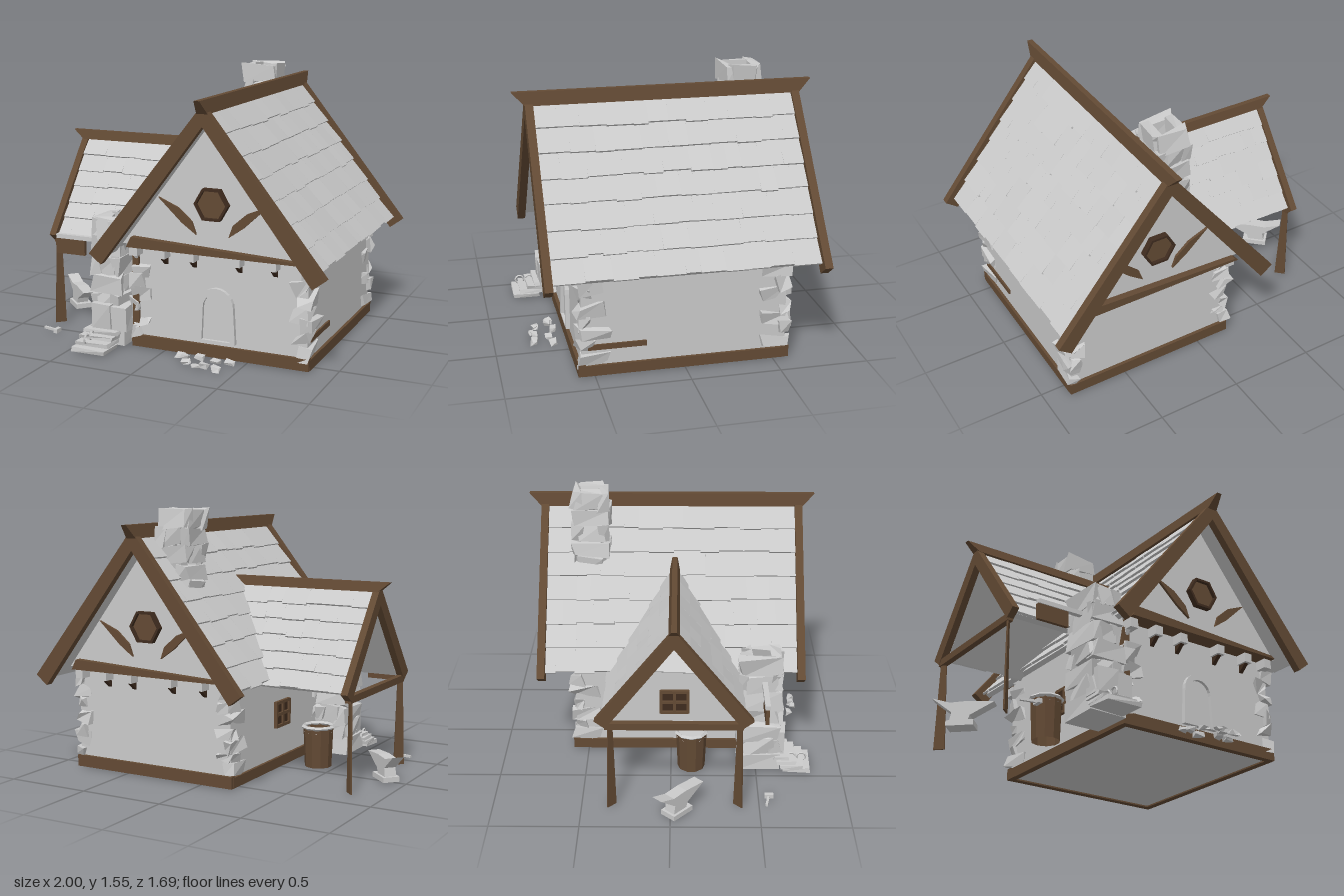
import * as THREE from 'three';

const mat = (name, color) => {
  const m = new THREE.MeshStandardMaterial({ color, flatShading: true, side: THREE.DoubleSide });
  m.name = name;
  return m;
};

export function createModel() {
  const stoneGrey = mat('stone grey', 0xcacaca);
  const timber = mat('timber brown', 0x634a34);
  const darkTimber = mat('dark timber', 0x3f2c1f);
  const root = new THREE.Group();
  root.name = 'cottage';

  let seed = 7;
  const rnd = (a = 0, b = 1) => {
    seed = (seed * 16807) % 2147483647;
    return a + (b - a) * (seed / 2147483647);
  };
  const add = (name, geo, m, x = 0, y = 0, z = 0, parent = root) => {
    const mesh = new THREE.Mesh(geo, m);
    mesh.name = name;
    mesh.position.set(x, y, z);
    parent.add(mesh);
    return mesh;
  };
  const group = (name, parent = root) => {
    const g = new THREE.Group();
    g.name = name;
    parent.add(g);
    return g;
  };
  const box = (name, m, w, h, d, x, y, z, parent) =>
    add(name, new THREE.BoxGeometry(w, h, d), m, x, y, z, parent);
  const shape = (pts) => new THREE.Shape(pts.map(([x, y]) => new THREE.Vector2(x, y)));
  const extrude = (s, depth) => new THREE.ExtrudeGeometry(s, { depth, bevelEnabled: false, curveSegments: 6 });
  // box whose corners are moved by a rule on their signs
  const shaped = (w, h, d, rule) => {
    const g = new THREE.BoxGeometry(w, h, d), p = g.attributes.position;
    for (let i = 0; i < p.count; i++) {
      const v = new THREE.Vector3().fromBufferAttribute(p, i);
      rule(v);
      p.setXYZ(i, v.x, v.y, v.z);
    }
    g.computeVertexNormals();
    return g;
  };
  // rough stone: each of the eight corners is knocked out of place
  const stone = (name, w, h, d, x, y, z, j, parent) => {
    const o = Array.from({ length: 8 }, () => [rnd(-j, j), rnd(-j, j), rnd(-j, j)]);
    const g = shaped(w, h, d, (v) => {
      const k = o[(v.x > 0 ? 1 : 0) + (v.y > 0 ? 2 : 0) + (v.z > 0 ? 4 : 0)];
      v.set(v.x + k[0], v.y + k[1], v.z + k[2]);
    });
    return add(name, g, stoneGrey, x, y, z, parent);
  };

  const CX = 0.315;

  // walls and timber sill
  box('walls', stoneGrey, 1.03, 0.62, 1.14, CX + 0.01, 0.32, 0);
  for (const s of [-1, 1]) {
    box('sillBeam', timber, 1.06, 0.068, 0.04, CX + 0.01, 0.035, s * 0.57);
    box('sillBeam', timber, 0.04, 0.06, 1.14, CX + 0.01 + s * 0.512, 0.031, 0);
  }
  box('cornerPost', timber, 0.04, 0.5, 0.04, -0.18, 0.31, 0.565);
  box('wallBoard', timber, 0.012, 0.03, 0.32, 0.845, 0.165, 0.375);

  // corner stones
  for (const sx of [-1, 1]) for (const sz of [-1, 1]) {
    const g = group('cornerStones');
    for (let i = 0; i < 7; i++) {
      const long = i % 2;
      stone('cornerStone', long ? 0.1 : 0.06, 0.07, long ? 0.07 : 0.16,
        CX + 0.01 + sx * (long ? 0.475 : 0.5), 0.1 + i * 0.07, sz * (long ? 0.55 : 0.51), 0.024, g);
    }
  }

  // arched door
  const arch = (hw, y0, y1) => {
    const s = new THREE.Shape();
    s.moveTo(-hw, y0);
    s.lineTo(hw, y0);
    s.lineTo(hw * 0.9, y1 - hw * 0.9);
    s.absarc(0, y1 - hw * 0.9, hw * 0.9, 0, Math.PI);
    s.closePath();
    return s;
  };
  const frame = arch(0.115, 0.09, 0.4);
  frame.holes.push(arch(0.085, 0.1, 0.365));
  add('doorFrame', extrude(frame, 0.03), stoneGrey, CX, 0, 0.565);
  add('door', extrude(arch(0.085, 0.1, 0.365), 0.008), stoneGrey, CX, 0, 0.568);

  // gables, front and back
  for (const s of [1, -1]) {
    const g = group(s > 0 ? 'frontGable' : 'backGable');
    g.position.x = CX;
    if (s < 0) g.rotation.y = Math.PI;
    add('gableWall', extrude(shape([[-0.56, 0.61], [0.56, 0.61], [0, 1.36]]), 0.08), stoneGrey, 0, 0, 0.55, g);
    add('tieBeam', extrude(shape([[-0.51, 0.6], [0.52, 0.6], [0.5, 0.615], [-0.48, 0.66]]), 0.1), timber, 0, 0, 0.57, g);
    // barge boards
    for (const m of [1, -1]) {
      add('bargeBoard', extrude(shape([[0, 1.43], [m * 0.685, 0.57], [m * 0.612, 0.515], [0, 1.315]]), 0.045), timber, 0, 0, 0.73, g);
      add('curvedBrace', extrude(shape([[m * 0.32, 0.895], [m * 0.2, 0.845], [m * 0.12, 0.775], [m * 0.095, 0.705], [m * 0.18, 0.765]]), 0.015), timber, 0, 0, 0.63, g);
    }
    // six-sided window
    const ring = new THREE.Shape(), hole = new THREE.Path();
    for (let i = 0; i < 6; i++) {
      const c = Math.cos(i * Math.PI / 3), n = Math.sin(i * Math.PI / 3);
      ring[i ? 'lineTo' : 'moveTo'](c * 0.1, n * 0.1);
      hole[i ? 'lineTo' : 'moveTo'](c * 0.085, n * 0.085);
    }
    ring.holes.push(hole);
    add('windowRing', extrude(ring, 0.035), darkTimber, 0, 0.88, 0.63, g);
    add('windowShutter', new THREE.CircleGeometry(0.088, 6), timber, 0, 0.88, 0.645, g);
    // corbels under the tie beam
    for (const x of [-0.48, -0.31, -0.135, 0.135, 0.34, 0.49]) {
      box('corbelStone', stoneGrey, 0.05, 0.055, 0.08, x, 0.573, 0.6, g);
      if (Math.abs(x) > 0.4) continue;
      add('corbelBracket', extrude(shape([[0, 0.56], [0.07, 0.56], [0, 0.5]]), 0.025), darkTimber, x + 0.0125, 0, 0.57, g).rotation.y = -Math.PI / 2;
    }
  }

  // tiled slope: local x along the ridge, y down the slope, z outwards
  const slope = (name, origin, down, normal, len, rows, from, to) => {
    const g = group(name);
    const d = new THREE.Vector3(...down).normalize(), n = new THREE.Vector3(...normal).normalize();
    g.quaternion.setFromRotationMatrix(new THREE.Matrix4().makeBasis(d.clone().cross(n), d, n));
    g.position.set(...origin);
    add('roofDeck', extrude(shape([[from(0), 0], [to(0), 0], [to(len), len], [from(len), len]]), 0.03), stoneGrey, 0, 0, -0.03, g);
    const h = len / rows;
    for (let r = 0; r < rows; r++) {
      const v = (r + 0.5) * h, end = to(v);
      for (let u = from(v); u < end - 0.01;) {
        let w = rnd(0.08, 0.16);
        if (end - u - w < 0.05) w = end - u;
        const t = box('roofTile', stoneGrey, w, h + rnd(0.005, 0.035), 0.014, u + w / 2, v, 0.008, g);
        t.rotation.x = rnd(0.06, 0.13);
        u += w;
      }
    }
  };
  for (const s of [1, -1])
    slope('mainRoof', [CX, 1.385, 0], [s * 0.605, -0.8, 0], [s * 0.8, 0.605, 0], 1.01, 7, () => -0.73, () => 0.73);

  // ridge beams with raked ends
  const ridge = (len, h, w) => shaped(w, h, len, (v) => {
    if (v.y > 0) v.x *= 0.5; else v.z -= Math.sign(v.z) * 0.07;
  });
  add('mainRidge', ridge(1.69, 0.075, 0.064), timber, CX, 1.42, 0);
  add('wingRidge', ridge(0.99, 0.055, 0.06), timber, -0.385, 1.103, 0.02).rotation.y = Math.PI / 2;

  // side wing roof, cut where it meets the main slope
  const meet = (v) => 0.1 - v * 0.62;
  slope('wingRoofFront', [0, 1.075, 0.02], [0, -0.52, 0.375], [0, 0.375, 0.52], 0.635, 6, (v) => -meet(v), () => 0.78);
  slope('wingRoofBack', [0, 1.075, 0.02], [0, -0.52, -0.375], [0, 0.375, -0.52], 0.635, 6, () => -0.78, meet);
  for (const m of [1, -1]) {
    const b = add('wingBargeBoard', extrude(shape([[0, 1.11], [m * 0.435, 0.56], [m * 0.375, 0.515], [0, 1.0]]), 0.04), timber, -0.78, 0, 0.02);
    b.rotation.y = -Math.PI / 2;
  }
  box('wingTieBeam', timber, 0.035, 0.04, 0.76, -0.8, 0.525, 0.02);
  // thin tapered posts set diagonally
  for (const [z, r] of [[0.38, Math.PI / 4], [-0.33, -Math.PI / 4]])
    add('wingPost', shaped(0.065, 0.52, 0.009, (v) => { if (v.y > 0) v.x *= 0.5; }), timber, -0.8, 0.26, z).rotation.y = r;

  // small window in the side wall
  box('sideWindowPane', darkTimber, 0.008, 0.13, 0.16, -0.194, 0.32, 0.02);
  for (const s of [-1, 0, 1]) {
    box('sideWindowBar', timber, 0.02, 0.15, 0.018, -0.2, 0.32, 0.02 + s * 0.08);
    box('sideWindowBar', timber, 0.02, 0.018, 0.17, -0.2, 0.32 + s * 0.07, 0.02);
  }

  // hollow stone stacks
  const stack = (name, x, z, w, d, y0, y1, layers) => {
    const g = group(name), h = (y1 - y0) / layers, t = 0.055;
    for (let i = 0; i < layers; i++) {
      const y = y0 + (i + 0.5) * h, k = i % 2 ? t : 0;
      for (const s of [-1, 1]) {
        stone('stackStone', w - k, h, t, x, y, z + s * (d - t) / 2, 0.019, g);
        stone('stackStone', t, h, d - t + k, x + s * (w - t) / 2, y, z, 0.019, g);
      }
    }
  };
  stack('chimney', 0.18, -0.475, 0.19, 0.21, 1.04, 1.53, 5);
  stack('forgeStack', -0.34, 0.515, 0.18, 0.24, 0.1, 0.73, 6);

  // forge base blocks, steps and hanging sign
  stone('forgeBlock', 0.12, 0.15, 0.12, -0.36, 0.175, 0.61, 0.008);
  stone('forgeBlock', 0.09, 0.14, 0.12, -0.25, 0.17, 0.6, 0.008);
  stone('forgeFooting', 0.22, 0.1, 0.24, -0.34, 0.06, 0.52, 0.008);
  for (let i = 0; i < 4; i++)
    stone('stepSlab', 0.21, 0.02, 0.16 - i * 0.025, -0.36 + rnd(-0.01, 0.01), 0.015 + i * 0.025, 0.74 - i * 0.03, 0.005);
  box('signArm', stoneGrey, 0.27, 0.025, 0.03, -0.58, 0.585, 0.535);
  box('signBoard', timber, 0.19, 0.09, 0.02, -0.625, 0.527, 0.535);
  for (const z of [0.71, 0.77]) {
    const shoe = add('horseshoe', new THREE.TorusGeometry(0.025, 0.006, 4, 8, Math.PI * 1.5), stoneGrey, -0.4, 0.07, z);
    shoe.rotation.set(0.3, Math.PI / 2, -0.8);
  }

  // water barrel
  add('barrel', new THREE.CylinderGeometry(0.09, 0.08, 0.24, 10, 1, true), timber, -0.39, 0.12, 0.12);
  const rim = add('barrelRim', new THREE.TorusGeometry(0.09, 0.012, 4, 10), stoneGrey, -0.39, 0.24, 0.12);
  rim.rotation.x = Math.PI / 2;
  add('barrelWater', new THREE.CircleGeometry(0.088, 10), stoneGrey, -0.39, 0.21, 0.12).rotation.x = -Math.PI / 2;

  // anvil
  const anvil = group('anvil');
  anvil.position.set(-0.87, 0, 0.03);
  anvil.rotation.y = -0.75;
  add('anvilBody', extrude(shape([[-0.15, 0.165], [-0.05, 0.135], [0.05, 0.14], [0.19, 0.13], [0.06, 0.06], [0.05, 0.03], [-0.05, 0.03], [-0.04, 0.08]]), 0.07), stoneGrey, 0, 0, -0.035, anvil);
  box('anvilFoot', stoneGrey, 0.15, 0.03, 0.1, 0.01, 0.015, 0, anvil);

  // hammer on the ground
  box('hammerHandle', stoneGrey, 0.09, 0.014, 0.014, -0.77, 0.012, 0.55).rotation.y = -0.2;
  box('hammerHead', stoneGrey, 0.025, 0.024, 0.05, -0.72, 0.012, 0.56);

  // loose stones before the door
  for (let i = 0; i < 9; i++)
    stone('looseStone', 0.045, 0.022, 0.035, 0.13 + i * 0.038, 0.016, 0.63 + rnd(0, 0.15), 0.008);

  return root;
}
